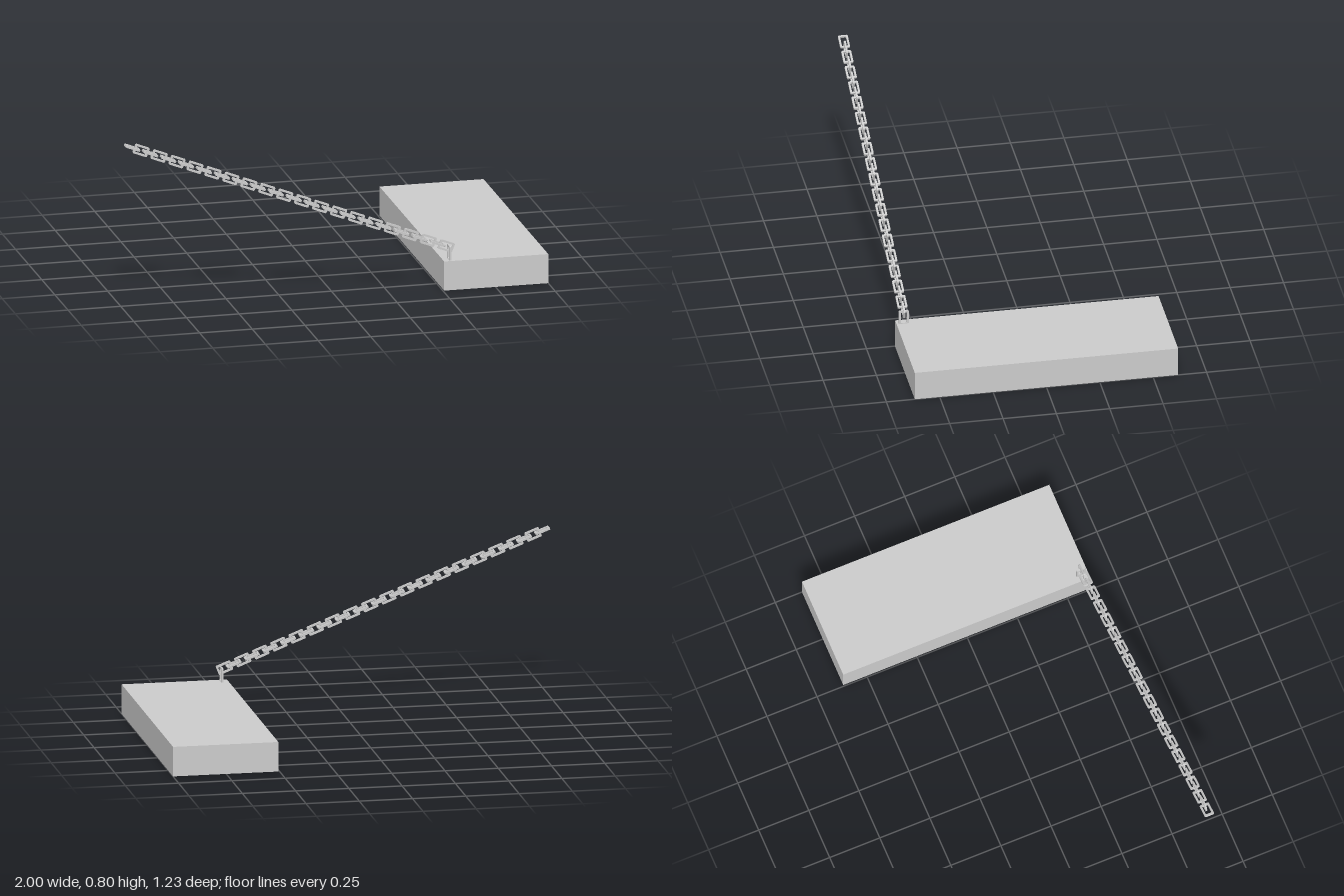
import * as THREE from 'three';

const LENGTH = 0.072, WIDTH = 0.046, WIRE = 0.009, PITCH = 0.0457;

// Rectangle with clipped corners, centred on the origin
function clippedRect(target, w, h, c) {
  const x = w / 2, y = h / 2;
  target.moveTo(-x + c, -y);
  target.lineTo(x - c, -y);
  target.lineTo(x, -y + c);
  target.lineTo(x, y - c);
  target.lineTo(x - c, y);
  target.lineTo(-x + c, y);
  target.lineTo(-x, y - c);
  target.lineTo(-x, -y + c);
  target.closePath();
  return target;
}

export function createModel() {
  const model = new THREE.Group();
  model.name = 'anchoredChain';
  const material = new THREE.MeshStandardMaterial({ color: 0xcccccc, flatShading: true });

  // Heavy slab on the ground
  const slab = new THREE.Mesh(new THREE.BoxGeometry(0.494, 0.14, 1.234), material);
  slab.name = 'slab';
  slab.position.set(0.753, 0.07, 0);
  model.add(slab);

  // One open link, long along x and lying in the xy plane
  const outline = clippedRect(new THREE.Shape(), LENGTH, WIDTH, 0.004);
  outline.holes.push(clippedRect(new THREE.Path(), LENGTH - 2 * WIRE, WIDTH - 2 * WIRE, 0.002));
  const linkGeometry = new THREE.ExtrudeGeometry(outline, { depth: WIRE, bevelEnabled: false });
  linkGeometry.translate(0, 0, -WIRE / 2);

  // Straight taut chain; every other link is turned a quarter
  const chain = new THREE.Group();
  chain.name = 'chain';
  chain.position.set(-1, 0.798, 0.583);
  chain.rotation.z = -Math.atan2(0.363, 0.932);
  for (let i = 0; i < 36; i++) {
    const link = new THREE.Mesh(linkGeometry, material);
    link.name = i % 2 ? 'uprightLink' : 'flatLink';
    link.position.x = LENGTH / 2 + i * PITCH;
    if (i % 2 === 0) link.rotation.x = Math.PI / 2;
    chain.add(link);
  }
  model.add(chain);

  // Upright link fixing the chain to the slab
  const anchor = new THREE.Mesh(linkGeometry, material);
  anchor.name = 'anchorLink';
  anchor.rotation.set(0, Math.PI / 2, Math.PI / 2);
  anchor.rotation.order = 'YXZ';
  anchor.position.set(0.538, 0.171, 0.583);
  model.add(anchor);

  return model;
}
